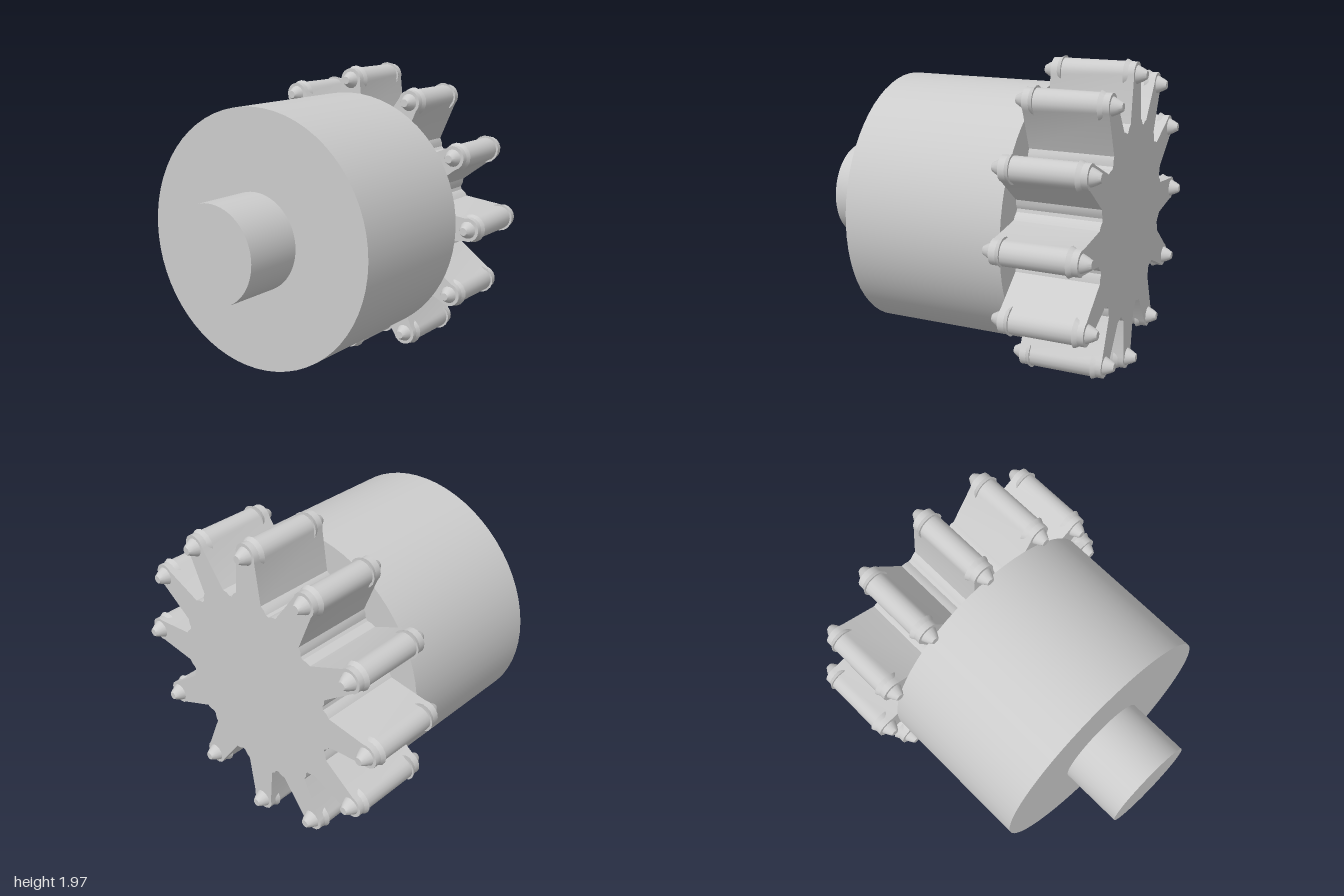
import * as THREE from 'three';
import { toCreasedNormals } from 'three/addons/utils/BufferGeometryUtils.js';

const AXIS_Y = 0.988;
const TEETH = 12;
const PIN_RADIUS = 0.895; // distance of the pins from the axis
const BULB = 0.076; // rounded tooth tip
const GEAR_START = 0.42, GEAR_END = 0.94;

const material = new THREE.MeshStandardMaterial({ color: 0xcccccc });

function addMesh(parent, name, geometry) {
  const mesh = new THREE.Mesh(geometry, material);
  mesh.name = name;
  parent.add(mesh);
  return mesh;
}

// Solid cylinder lying along x
function axleCylinder(radius, x0, x1) {
  return new THREE.CylinderGeometry(radius, radius, x1 - x0, 64)
    .rotateZ(-Math.PI / 2)
    .translate((x0 + x1) / 2, 0, 0);
}

// Outline of the toothed wheel: bulb-ended spokes and shallow stepped roots
function gearOutline() {
  const rootSteps = [[9.5, 0.625], [12, 0.612], [14, 0.592], [16, 0.592], [18, 0.612], [20.5, 0.625]];
  const points = [];
  for (let i = 0; i < TEETH; i++) {
    const turn = (i / TEETH) * Math.PI * 2;
    for (let k = 0; k <= 10; k++) {
      const a = THREE.MathUtils.degToRad(-105 + 21 * k);
      points.push(new THREE.Vector2(PIN_RADIUS + BULB * Math.cos(a), BULB * Math.sin(a))
        .rotateAround(new THREE.Vector2(), turn));
    }
    for (const [deg, r] of rootSteps) {
      const a = turn + THREE.MathUtils.degToRad(deg);
      points.push(new THREE.Vector2(r * Math.cos(a), r * Math.sin(a)));
    }
  }
  return new THREE.Shape(points);
}

// Pin end: a cone with a blunt tip whose flared base stands proud of the tooth
function pinEndGeometry() {
  const profile = [[0, 0], [0.09, 0], [0.056, 0.065], [0.04, 0.1], [0.025, 0.125], [0, 0.125]]
    .map(([r, h]) => new THREE.Vector2(r, h));
  return toCreasedNormals(new THREE.LatheGeometry(profile, 16).rotateZ(-Math.PI / 2), 0.5);
}

export function createModel() {
  const model = new THREE.Group();
  model.name = 'pinToothedRoller';

  const rotor = new THREE.Group();
  rotor.name = 'rotor';
  rotor.position.y = AXIS_Y;
  model.add(rotor);

  addMesh(rotor, 'shaft', axleCylinder(0.305, -1, -0.595));
  addMesh(rotor, 'drum', axleCylinder(0.812, -0.595, GEAR_START));

  // Toothed wheel, extruded along x
  const wheel = new THREE.ExtrudeGeometry(gearOutline(), {
    depth: GEAR_END - GEAR_START, bevelEnabled: false,
  }).rotateY(Math.PI / 2).translate(GEAR_START, 0, 0);
  addMesh(rotor, 'toothedWheel', toCreasedNormals(wheel, 0.42));

  // A pair of cone ends on every tooth
  const pinEnd = pinEndGeometry();
  for (let i = 0; i < TEETH; i++) {
    const pin = new THREE.Group();
    pin.name = 'pin';
    const a = (i / TEETH) * Math.PI * 2;
    pin.position.set(0, PIN_RADIUS * Math.cos(a), PIN_RADIUS * Math.sin(a));
    pin.rotation.x = a;
    rotor.add(pin);
    addMesh(pin, 'outerPinEnd', pinEnd).position.x = 0.875;
    const inner = addMesh(pin, 'innerPinEnd', pinEnd);
    inner.position.x = 0.487;
    inner.rotation.y = Math.PI;
  }
  return model;
}
